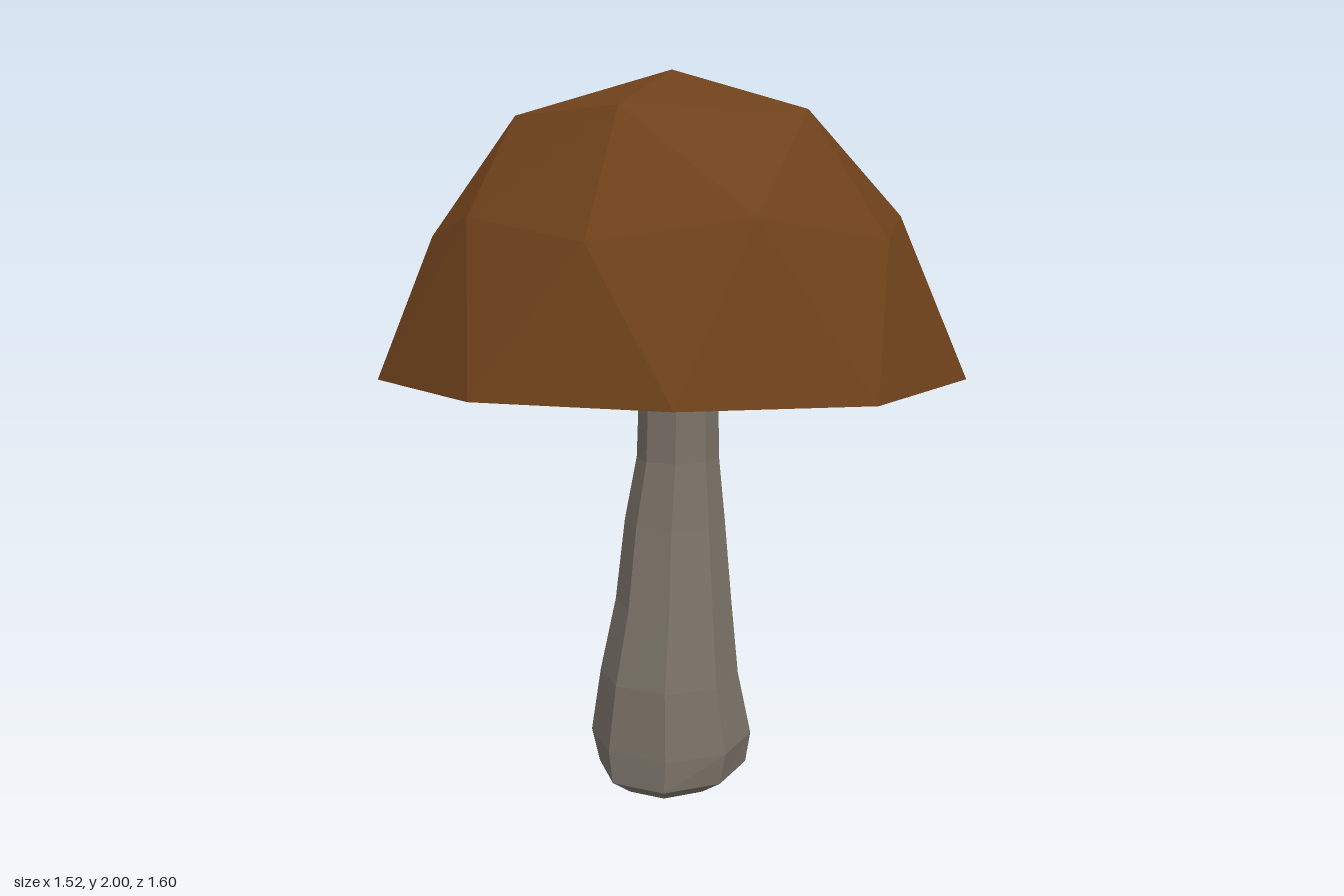
import * as THREE from 'three';

const rad = THREE.MathUtils.degToRad;

// Point at an angle (degrees from +x towards +z) around the vertical axis
function polar(deg, r, y, cx = 0, cz = 0) {
  return new THREE.Vector3(cx + r * Math.cos(rad(deg)), y, cz + r * Math.sin(rad(deg)));
}

// Faceted mesh from a list of triangles, dropping empty ones
function facetedMesh(name, triangles, material) {
  const points = triangles
    .filter(([a, b, c]) => new THREE.Triangle(a, b, c).getArea() > 1e-8)
    .flat();
  const geometry = new THREE.BufferGeometry().setFromPoints(points);
  geometry.computeVertexNormals();
  const mesh = new THREE.Mesh(geometry, material);
  mesh.name = name;
  return mesh;
}

// Triangles joining a stack of rings with equal point counts
function loft(rings) {
  const triangles = [];
  for (let j = 0; j < rings.length - 1; j++) {
    const low = rings[j], high = rings[j + 1], n = low.length;
    for (let i = 0; i < n; i++) {
      const k = (i + 1) % n;
      triangles.push([low[i], high[i], low[k]], [low[k], high[i], high[k]]);
    }
  }
  return triangles;
}

// Outer rim of the cap: ten corners, one drooping slightly
const RIM = Array.from({ length: 10 }, (_, i) => polar(18 + 36 * i, 0.8, i === 0 ? 1.19 : 1.2));

// Geodesic half dome, five repeated sectors
function capDome(material) {
  const apex = new THREE.Vector3(0, 2, 0);
  const triangles = [];
  for (let k = 0; k < 5; k++) {
    const a = 72 * k;
    const upper = polar(a, 0.42, 1.88), upperNext = polar(a + 72, 0.42, 1.88);
    const side = polar(a, 0.652, 1.56), sideNext = polar(a + 72, 0.652, 1.56);
    const mid = polar(a + 36, 0.622, 1.615);
    const rim0 = RIM[(2 * k + 9) % 10], rim1 = RIM[2 * k], rim2 = RIM[2 * k + 1];
    triangles.push(
      [apex, upperNext, upper],
      [upper, upperNext, mid],
      [upper, mid, side],
      [upperNext, sideNext, mid],
      [side, rim1, rim0],
      [side, mid, rim1],
      [mid, rim2, rim1],
      [mid, sideNext, rim2]
    );
  }
  return facetedMesh('capDome', triangles, material);
}

// Shallow hollow beneath the cap
function capUnderside(material) {
  const profile = [[0, 1.3], [0.35, 1.3], [0.62, 1.28], [0.71, 1.26]];
  const rings = profile.map(([r, y]) => RIM.map((_, i) => polar(18 + 36 * i, r, y)));
  return facetedMesh('capUnderside', loft([...rings, RIM]), material);
}

// Eight-sided stem that leans a little and swells into a bulb at its foot
function stem(material) {
  // height, centre x, centre z, half width x, half width z
  const sections = [
    [0.0, 0, 0.005, 0, 0],
    [0.0, 0, 0.005, 0.135, 0.155],
    [0.05, 0.008, 0.008, 0.2, 0.222],
    [0.14, 0, 0.005, 0.225, 0.225],
    [0.33, 0.008, 0.025, 0.193, 0.19],
    [0.54, 0.014, 0.012, 0.16, 0.162],
    [0.77, 0.008, -0.003, 0.138, 0.138],
    [0.95, 0.017, -0.005, 0.113, 0.112],
    [1.2, 0.02, -0.005, 0.106, 0.106],
    [1.32, 0.02, -0.005, 0.104, 0.104],
    [1.32, 0.02, -0.005, 0, 0],
  ];
  const rings = sections.map(([y, cx, cz, wx, wz]) =>
    Array.from({ length: 8 }, (_, i) => {
      const t = rad(13 + 45 * i);
      return new THREE.Vector3(
        cx + wx * 1.025 * Math.cos(t), y, cz + wz * 1.025 * Math.sin(t));
    })
  );
  return facetedMesh('stem', loft(rings), material);
}

export function createModel() {
  const brown = new THREE.MeshStandardMaterial({ color: 0x6e411b, flatShading: true });
  const greyBrown = new THREE.MeshStandardMaterial({ color: 0x7b7469, flatShading: true });

  const cap = new THREE.Group();
  cap.name = 'cap';
  cap.add(capDome(brown), capUnderside(brown));

  const model = new THREE.Group();
  model.name = 'mushroom';
  model.add(cap, stem(greyBrown));
  return model;
}
